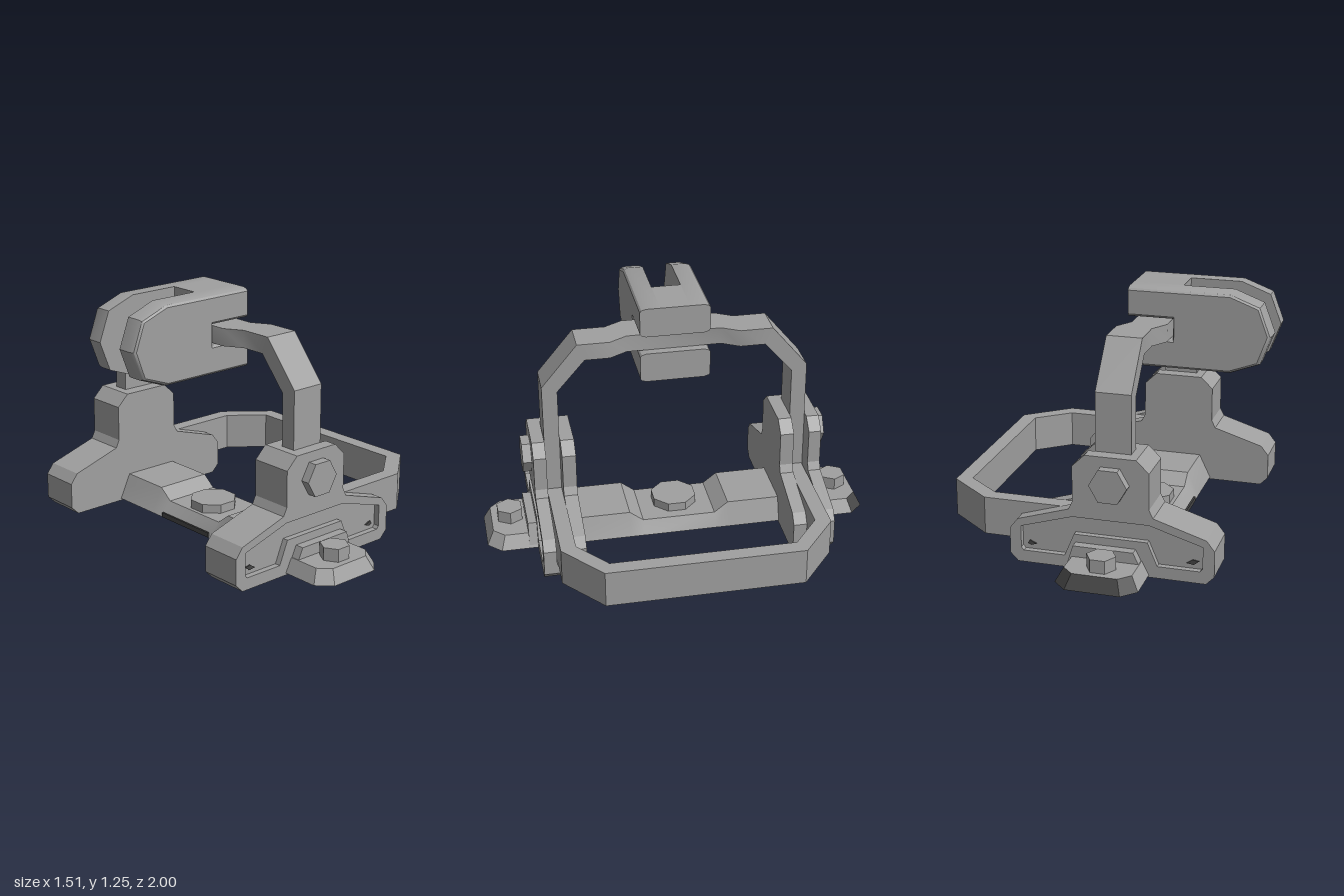
import * as THREE from 'three';
import { toCreasedNormals } from 'three/addons/utils/BufferGeometryUtils.js';

const CX = -0.127; // centre line of the brackets

// Skin through closed rings of [x, y, z] points, with both ends capped
function loft(rings, cap) {
  const n = rings[0].length, tris = [];
  for (let i = 0; i < rings.length - 1; i++) {
    for (let j = 0; j < n; j++) {
      const k = (j + 1) % n;
      const a = rings[i][j], b = rings[i][k], c = rings[i + 1][k], d = rings[i + 1][j];
      tris.push([a, b, c], [a, c, d]);
    }
  }
  const faces = cap || Array.from({ length: n - 2 }, (_, j) => [0, j + 1, j + 2]);
  const last = rings[rings.length - 1];
  for (const [a, b, c] of faces) {
    tris.push([rings[0][a], rings[0][c], rings[0][b]], [last[a], last[b], last[c]]);
  }
  // turn the faces outwards
  const v = (p) => new THREE.Vector3(...p);
  let volume = 0;
  for (const [a, b, c] of tris) volume += v(a).dot(v(b).cross(v(c)));
  if (volume < 0) tris.forEach((t) => t.reverse());
  const geo = new THREE.BufferGeometry();
  geo.setAttribute('position', new THREE.Float32BufferAttribute(tris.flat(2), 3));
  geo.computeVertexNormals();
  return toCreasedNormals(geo, 0.55);
}

// Second material on the triangles whose normal passes the test
function paintFaces(geo, test) {
  const normals = geo.attributes.normal, n = new THREE.Vector3();
  for (let i = 0; i < normals.count; i += 3) {
    geo.addGroup(i, 3, test(n.fromBufferAttribute(normals, i)) ? 1 : 0);
  }
  return geo;
}

const vectors = (pts) => pts.map(([x, y]) => new THREE.Vector2(x, y));

// Plate with an x-y outline between two depths, on the front (s = 1) or back (s = -1)
function plate(pts, z0, z1, s = 1, hole) {
  const shape = new THREE.Shape(vectors(pts));
  if (hole) shape.holes.push(new THREE.Path(vectors(hole)));
  const geo = new THREE.ExtrudeGeometry(shape, { depth: z1 - z0, bevelEnabled: false });
  return geo.translate(0, 0, s > 0 ? z0 : -z1);
}

// Faceted bolt head, standing along y
function boltHead(radius, height, sides) {
  const geo = new THREE.CylinderGeometry(radius, radius, height, sides).toNonIndexed();
  geo.computeVertexNormals();
  return geo.rotateY(Math.PI / sides);
}

// Half outline (offset from the centre line, y) mirrored into a full one
const mirrorX = (half) => [
  ...half.map(([x, y]) => [CX + x, y]),
  ...[...half].reverse().map(([x, y]) => [CX - x, y]),
];
// Sections for one end, continued mirrored to the other end
const mirrorZ = (rings) => [
  ...rings,
  ...[...rings].reverse().map((r) => r.map(([x, y, z]) => [x, y, -z])),
];

export function createModel() {
  const model = new THREE.Group();
  const grey = new THREE.MeshStandardMaterial({ color: 0xa0a0a0 });
  grey.name = 'grey';
  const dark = new THREE.MeshStandardMaterial({ color: 0x454545 });
  dark.name = 'darkGrey';
  const add = (name, geo, parent = model, material = grey) => {
    const mesh = new THREE.Mesh(geo, material);
    mesh.name = name;
    parent.add(mesh);
    return mesh;
  };

  // Base rail with a dark underside: low in the middle, raised through the brackets
  const railSection = (z, top) => [
    [-0.31, 0.01, z], [0.085, 0.01, z], [0.045, top, z], [-0.25, top, z],
  ];
  const rail = loft(mirrorZ([
    railSection(0.79, 0.135), railSection(0.26, 0.135), railSection(0.19, 0.08),
  ]));
  add('baseRail', paintFaces(rail, (n) => n.y < -0.9), model, [grey, dark]);
  add('railEdge', new THREE.BoxGeometry(0.009, 0.025, 0.36), model, dark)
    .position.set(-0.309, 0.0235, 0);
  add('middleBolt', boltHead(0.12, 0.05, 8)).position.set(-0.12, 0.1, 0);

  // Bracket outline, its part beside the arm slot, and the arched groove of the outer face
  const outline = mirrorX([
    [0.463, 0], [0.502, 0.04], [0.502, 0.17], [0.463, 0.22], [0.207, 0.3],
    [0.187, 0.34], [0.187, 0.52], [0.125, 0.58],
  ]);
  const core = [
    [-0.59, 0], [0.335, 0], [0.375, 0.04], [0.375, 0.09], [-0.21, 0.09], [-0.21, 0.58],
    [-0.252, 0.58], [-0.314, 0.52], [-0.314, 0.34], [-0.334, 0.3], [-0.59, 0.22],
    [-0.629, 0.17], [-0.629, 0.04],
  ];
  const groove = [
    ...mirrorX([
      [0.228, 0.06], [0.434, 0.06], [0.446, 0.075], [0.446, 0.185], [0.187, 0.263],
    ]),
    [CX - 0.18, 0.175], [CX + 0.18, 0.175],
  ];
  const grooveMarks = [
    [[-0.55, 0.1], [-0.525, 0.08], [-0.49, 0.085], [-0.52, 0.105]],
    [[0.25, 0.09], [0.275, 0.08], [0.295, 0.088], [0.285, 0.105]],
  ];

  for (const s of [1, -1]) {
    const bracket = new THREE.Group();
    bracket.name = s > 0 ? 'frontBracket' : 'backBracket';
    model.add(bracket);
    add('innerPlate', plate(outline, 0.53, 0.6, s), bracket);
    add('slotCore', plate(core, 0.6, 0.68, s), bracket);
    add('outerPlate', plate(outline, 0.68, 0.715, s), bracket);
    add('groovedFace', plate(outline, 0.715, 0.745, s, groove), bracket);
    for (const mark of grooveMarks) {
      add('grooveMark', plate(mark, 0.714, 0.721, s), bracket, dark);
    }
    add('pivotBolt', boltHead(0.093, 0.05, 6).rotateX(Math.PI / 2), bracket)
      .position.set(CX, 0.45, s * 0.765);

    // Foot with sloping edges and cut corners; underside and back end are dark
    const footRing = (y, x0, x1, end, cut) => [
      [x0, y, s * 0.72], [x0, y, s * (end - cut)], [x0 + cut, y, s * end],
      [x1 - cut, y, s * end], [x1, y, s * (end - cut)], [x1, y, s * 0.72],
    ];
    const foot = loft([
      footRing(0.01, -0.315, 0.088, 1, 0.068), footRing(0.08, -0.28, 0.05, 0.965, 0.055),
    ]);
    paintFaces(foot, (n) => n.y < -0.9 || (s < 0 && n.z < -0.3));
    add('foot', foot, bracket, [grey, dark]);
    add('footBolt', boltHead(0.072, 0.07, 6), bracket).position.set(-0.12, 0.11, s * 0.87);
  }

  // Overhead arm, stepping sideways where the clamp grips it
  const armSection = (yo, zo, yi, zi, shift = 0) => [
    [-0.21 - shift, yo, zo], [-0.035 - shift, yo, zo],
    [-0.035 - shift, yi, zi], [-0.21 - shift, yi, zi],
  ];
  add('overheadArm', loft(mirrorZ([
    armSection(0.2, 0.678, 0.2, 0.6), armSection(0.87, 0.678, 0.84, 0.6),
    armSection(1.09, 0.495, 1.003, 0.458), armSection(1.09, 0.33, 1.003, 0.33),
    armSection(1.09, 0.24, 1.003, 0.24, 0.052),
  ])));

  // Side handle loop
  const handle = [
    [-0.035, 0.675], [0.53, 0.675], [0.752, 0.493], [0.752, -0.493], [0.53, -0.675],
    [-0.035, -0.675], [-0.035, -0.598], [0.505, -0.598], [0.675, -0.46],
    [0.675, 0.46], [0.505, 0.598], [-0.035, 0.598],
  ];
  add('sideHandle', plate(handle, 0, 0.19).rotateX(-Math.PI / 2).translate(0, 0.09, 0));

  // Clamp: two fingers joined by a notched bridge
  const clamp = new THREE.Group();
  clamp.name = 'clamp';
  model.add(clamp);
  // outline points, each with its direction of inset for the rounded outer edge
  const finger = [
    [-0.048, 1.245, 0, -1], [-0.555, 1.245, 0.2, -1], [-0.7, 1.19, 0.7, -0.75],
    [-0.755, 1.045, 1.1, 0], [-0.7, 0.9, 0.7, 0.75], [-0.555, 0.845, 0.2, 1],
    [-0.048, 0.845, 0, 1], [-0.048, 1, 0, -1], [-0.27, 1, -0.5, -1],
    [-0.27, 1.093, -0.5, 1], [-0.048, 1.093, 0, 1],
  ];
  const fingerCap = THREE.ShapeUtils.triangulateShape(vectors(finger), []);
  const fingerRing = (z, inset) => finger.map(([x, y, dx, dy]) => [
    x + dx * inset, y + dy * inset, z,
  ]);
  for (const s of [1, -1]) {
    const rings = [[0.075, 0], [0.148, 0], [0.17, 0.007], [0.178, 0.017]];
    add('clampFinger', loft(rings.map(([z, inset]) => fingerRing(s * z, inset)), fingerCap), clamp);
  }
  add('clampBridge', plate([
    [-0.3, 0.845], [-0.048, 0.845], [-0.048, 1], [-0.27, 1],
    [-0.27, 1.093], [-0.048, 1.093], [-0.048, 1.245], [-0.3, 1.245],
  ], -0.075, 0.075), clamp);

  return model;
}
